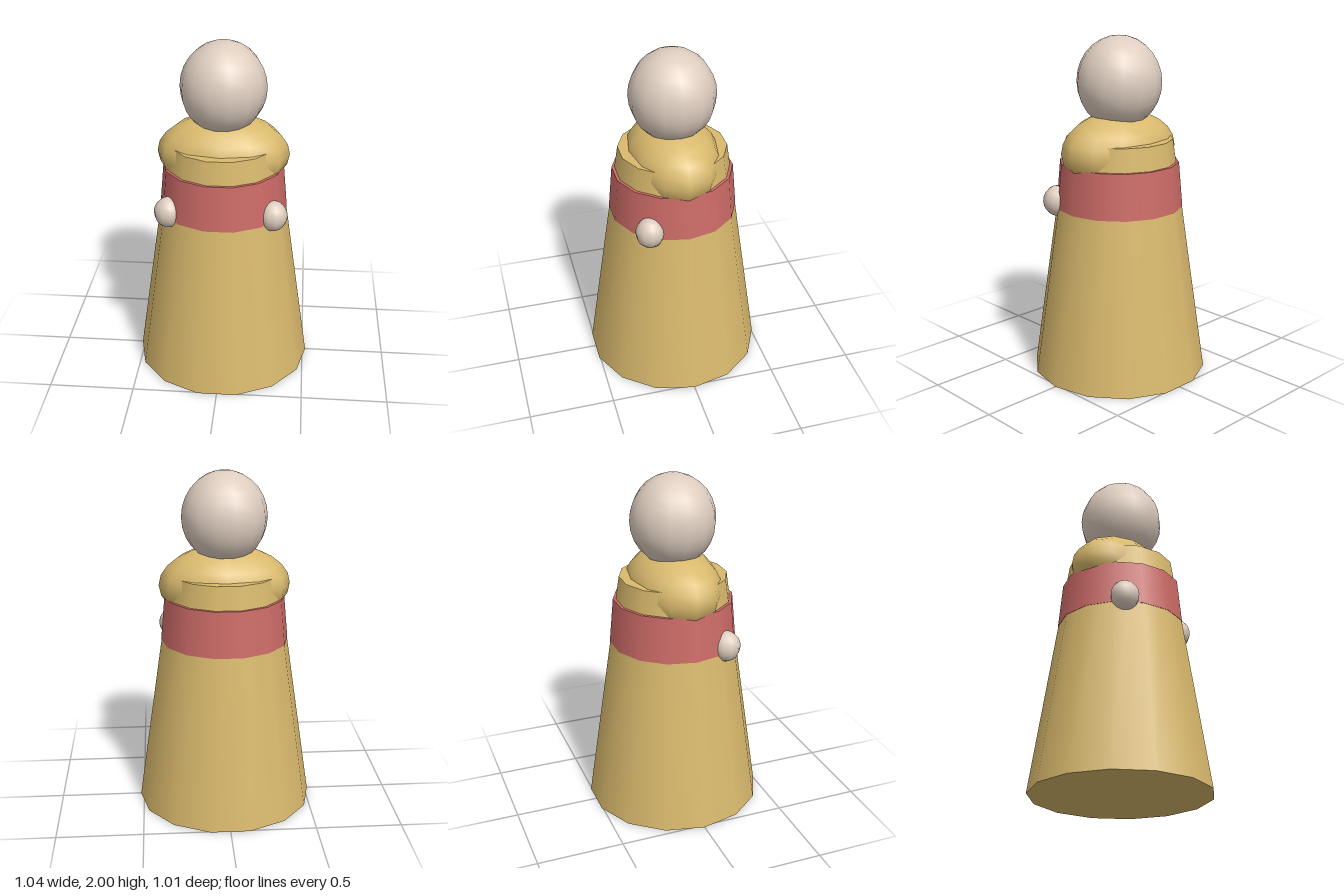
import * as THREE from 'three';

const yellow = new THREE.MeshStandardMaterial({ color: 0xd9b96d });
yellow.name = 'robe yellow';
const red = new THREE.MeshStandardMaterial({ color: 0xcc6b67 });
red.name = 'band red';
const skin = new THREE.MeshStandardMaterial({ color: 0xdecdbf });
skin.name = 'pale skin';

export function createModel() {
  const model = new THREE.Group();
  model.name = 'figurine';

  const add = (name, geometry, material, x, y, z) => {
    const mesh = new THREE.Mesh(geometry, material);
    mesh.name = name;
    mesh.position.set(x, y, z);
    model.add(mesh);
  };

  // Tapered 14-sided section standing between two heights, corners on the x axis
  const cone = (name, material, rTop, rBottom, y0, y1) =>
    add(name, new THREE.CylinderGeometry(rTop, rBottom, y1 - y0, 14, 1, false, Math.PI / 2),
      material, 0, (y0 + y1) / 2, 0);

  // Smooth-shaded ellipsoid
  const ellipsoid = (name, material, [rx, ry, rz], [x, y, z], sides, rings) =>
    add(name, new THREE.SphereGeometry(1, sides, rings).scale(rx, ry, rz), material, x, y, z);

  // Robe and the band around the chest
  cone('robe', yellow, 0.313, 0.52, 0, 1.41);
  cone('chestBand', red, 0.35, 0.374, 1.01, 1.275);

  // Shoulders and head
  ellipsoid('shoulders', yellow, [0.382, 0.231, 0.268], [0, 1.34, 0], 12, 12);
  ellipsoid('head', skin, [0.247, 0.265, 0.247], [0, 1.735, 0], 14, 14);

  // Hands resting on the band
  for (const [side, name] of [[1, 'leftHand'], [-1, 'rightHand']]) {
    ellipsoid(name, skin, [0.083, 0.09, 0.083], [side * 0.3, 1.047, 0.21], 10, 10);
  }

  return model;
}
